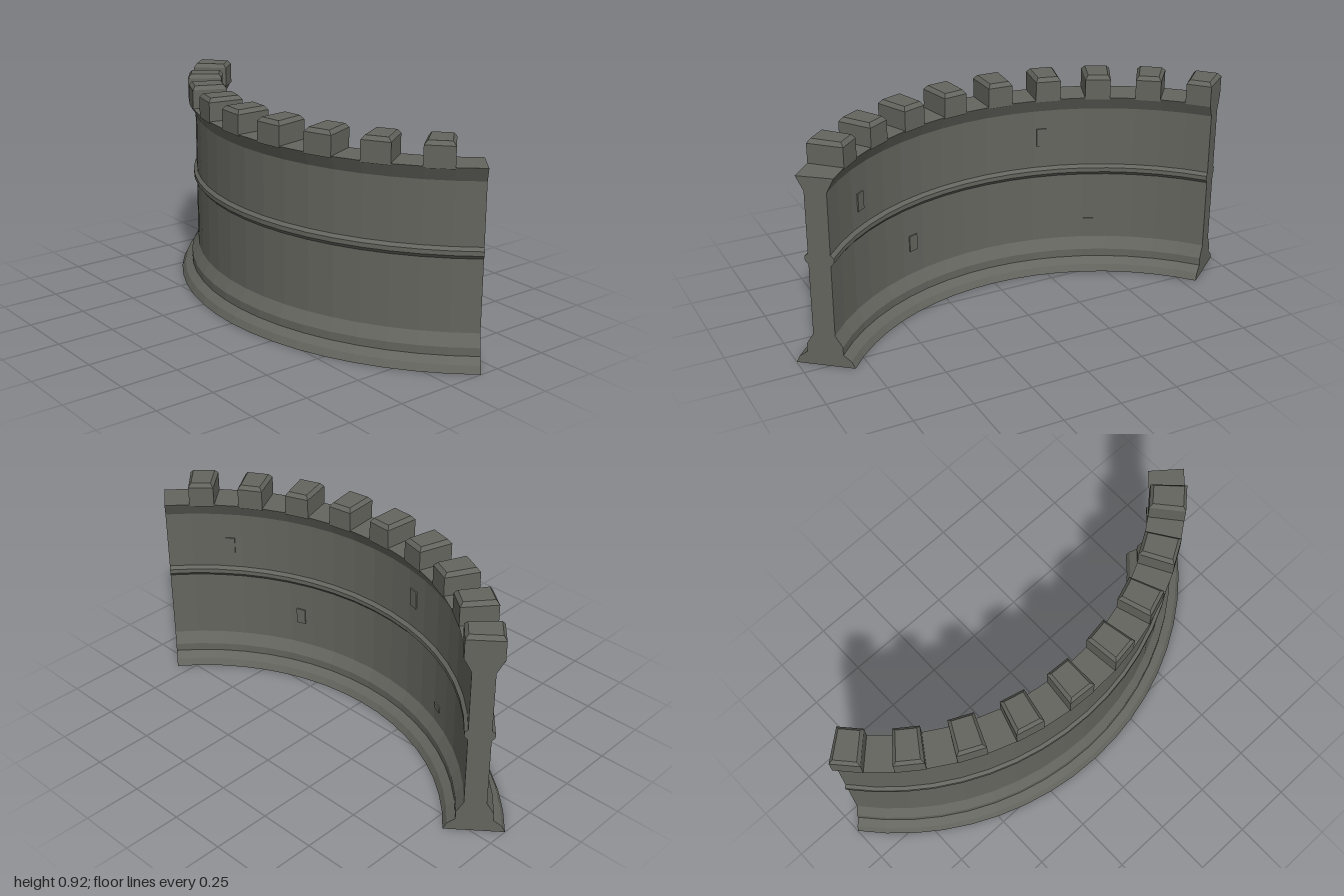
import * as THREE from 'three';

const HALF = THREE.MathUtils.degToRad(51); // half the arc the wall spans
const CENTER_Z = -0.97; // centre of the arc
const MID_R = 1.164; // radius of the wall's middle line
const SEGMENTS = 18;
const STEP = (2 * HALF) / SEGMENTS;

// Rewrites each vertex by a rule giving [angle, radius, height]
function bend(geometry, rule) {
  const p = geometry.attributes.position;
  for (let i = 0; i < p.count; i++) {
    const [a, r, y] = rule(p.getX(i), p.getY(i), p.getZ(i));
    p.setXYZ(i, r * Math.sin(a), y, r * Math.cos(a) + CENTER_Z);
  }
  geometry.computeVertexNormals();
  return geometry;
}

// Wall with moulded base, middle band and flared top, swept along the arc
function wallGeometry() {
  const side = [ // half thickness, height
    [0.123, 0], [0.108, 0.03], [0.075, 0.055], [0.075, 0.09], [0.045, 0.14],
    [0.045, 0.447], [0.059, 0.463], [0.059, 0.482], [0.045, 0.495],
    [0.045, 0.757], [0.076, 0.817],
  ];
  const outline = [
    ...side.map(([t, y]) => new THREE.Vector2(MID_R + t, y)),
    ...side.map(([t, y]) => new THREE.Vector2(MID_R - t, y)).reverse(),
  ];
  const g = new THREE.ExtrudeGeometry(new THREE.Shape(outline), {
    depth: 1, steps: SEGMENTS, bevelEnabled: false,
  });
  return bend(g, (r, y, t) => [HALF * (1 - 2 * t), r, y]);
}

// One battlement block with a chamfered top, centred at the given angle
function merlonGeometry(angle) {
  const heights = [0.81, 0.899, 0.916];
  return bend(new THREE.BoxGeometry(1, 1, 1, 1, 2, 1), (x, y, z) => {
    const row = Math.round((y + 0.5) * 2);
    const inset = row === 2 ? 0.013 : 0;
    return [
      angle + Math.sign(x) * (STEP / 2 - inset / MID_R),
      MID_R + Math.sign(z) * (0.076 - inset),
      heights[row],
    ];
  });
}

export function createModel() {
  const group = new THREE.Group();
  const stone = new THREE.MeshStandardMaterial({ color: 0x64655e, flatShading: true });
  stone.name = 'dark grey stone';

  const add = (name, geometry) => {
    const mesh = new THREE.Mesh(geometry, stone);
    mesh.name = name;
    group.add(mesh);
    return mesh;
  };

  add('curvedWall', wallGeometry());

  // Battlements: every other wall segment carries a block
  for (let i = 0; i < SEGMENTS; i += 2) {
    add('merlon', merlonGeometry(-HALF + (i + 0.5) * STEP));
  }

  // Raised bricks on the inner wall: angle in degrees, height, width, tallness
  const bricks = [
    [36.7, 0.603, 0.042, 0.076],
    [-13.1, 0.635, 0.042, 0.08],
    [20, 0.285, 0.042, 0.072],
    [-24.3, 0.22, 0.045, 0.025],
  ];
  for (const [deg, y, w, h] of bricks) {
    const a = THREE.MathUtils.degToRad(deg);
    const r = MID_R - 0.045;
    const brick = add('raisedBrick', new THREE.BoxGeometry(w, h, 0.014));
    brick.position.set(r * Math.sin(a), y, r * Math.cos(a) + CENTER_Z);
    brick.rotation.y = a;
  }
  return group;
}
